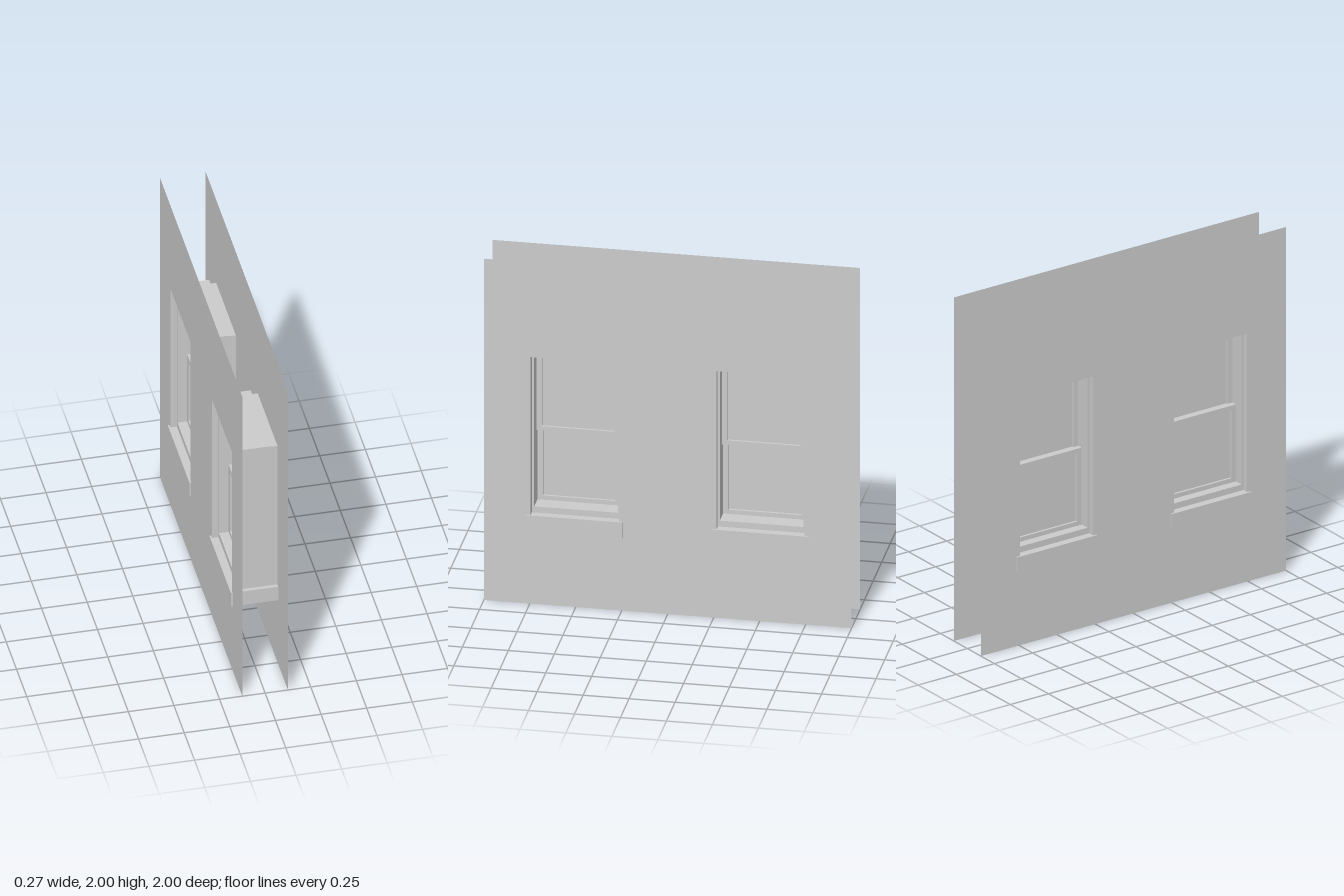
import * as THREE from 'three';

const mat = new THREE.MeshStandardMaterial({ color: 0xcccccc, flatShading: true, side: THREE.DoubleSide });

const WALL = 0.125;            // distance of each wall face from the middle
const SPACING = 0.505;         // window centre to wall centre
const HALF = 0.24;             // half width of the wall opening
const SILL_TOP = 0.52, HEAD = 1.445;

function add(parent, name, geometry, x = 0, y = 0, z = 0) {
  const mesh = new THREE.Mesh(geometry, mat);
  mesh.name = name;
  mesh.position.set(x, y, z);
  parent.add(mesh);
  return mesh;
}

// Box given by its lower and upper limits
function block(parent, name, x0, x1, y0, y1, z0, z1) {
  return add(parent, name, new THREE.BoxGeometry(x1 - x0, y1 - y0, z1 - z0),
    (x0 + x1) / 2, (y0 + y1) / 2, (z0 + z1) / 2);
}

function rect(Kind, x0, x1, y0, y1) {
  return new Kind([[x0, y0], [x1, y0], [x1, y1], [x0, y1]].map(p => new THREE.Vector2(...p)));
}

// Rectangular sash with a thin pane in the middle of its depth
function sash(parent, name, half, y0, y1, border, z0, z1) {
  const group = new THREE.Group();
  group.name = name;
  const shape = rect(THREE.Shape, -half, half, y0, y1);
  const inner = [-half + border, half - border, y0 + 0.025, y1 - 0.025];
  shape.holes.push(rect(THREE.Path, ...inner));
  add(group, 'sashFrame', new THREE.ExtrudeGeometry(shape, { depth: z1 - z0, bevelEnabled: false }), 0, 0, z0);
  const mid = (z0 + z1) / 2;
  block(group, 'pane', ...inner, mid - 0.002, mid + 0.002);
  parent.add(group);
}

function makeWindow() {
  const g = new THREE.Group();
  g.name = 'window';

  // Lining of the opening between the two wall faces
  for (const s of [-1, 1]) {
    const side = add(g, 'sideReveal', new THREE.PlaneGeometry(2 * WALL, HEAD - SILL_TOP),
      s * HALF, (HEAD + SILL_TOP) / 2, 0);
    side.rotation.y = -s * Math.PI / 2;
  }
  const top = add(g, 'headReveal', new THREE.PlaneGeometry(2 * HALF, 2 * WALL), 0, HEAD, 0);
  top.rotation.x = Math.PI / 2;

  // Fixed frame
  const d = 0.09;
  for (const s of [-1, 1]) {
    block(g, 'jamb', s > 0 ? 0.228 : -0.255, s > 0 ? 0.255 : -0.228, 0.555, 1.43, -d, d);
  }
  block(g, 'frameHead', -0.255, 0.255, 1.43, 1.46, -d, d);
  block(g, 'frameBottom', -HALF, HALF, SILL_TOP, 0.555, -d, d);

  // Sliding sashes, one behind the other
  sash(g, 'upperSash', 0.228, 0.975, 1.43, 0.03, -0.004, 0.028);
  sash(g, 'lowerSash', 0.228, 0.555, 1.003, 0.03, -0.037, -0.005);

  // Sill running through the wall and standing proud on both faces
  block(g, 'sill', -0.262, 0.262, 0.43, SILL_TOP, -0.135, 0.135);
  return g;
}

export function createModel() {
  const model = new THREE.Group();
  model.name = 'wallWithWindows';
  const body = new THREE.Group();
  body.name = 'body';
  body.rotation.y = Math.PI / 2;   // walls face along x
  model.add(body);

  // Wall faces with window openings
  const shape = rect(THREE.Shape, -1, 1, 0, 2);
  for (const s of [-1, 1]) {
    const c = s * SPACING;
    shape.holes.push(rect(THREE.Path, c - HALF, c + HALF, SILL_TOP, HEAD));
    const win = makeWindow();
    win.position.x = c;
    body.add(win);
    const wall = add(body, 'wallFace', new THREE.BufferGeometry(), 0, 0, s * WALL);
    if (s < 0) wall.rotation.y = Math.PI;
  }
  const wallGeometry = new THREE.ShapeGeometry(shape);
  body.children.filter(o => o.name === 'wallFace').forEach(o => { o.geometry = wallGeometry; });
  return model;
}
